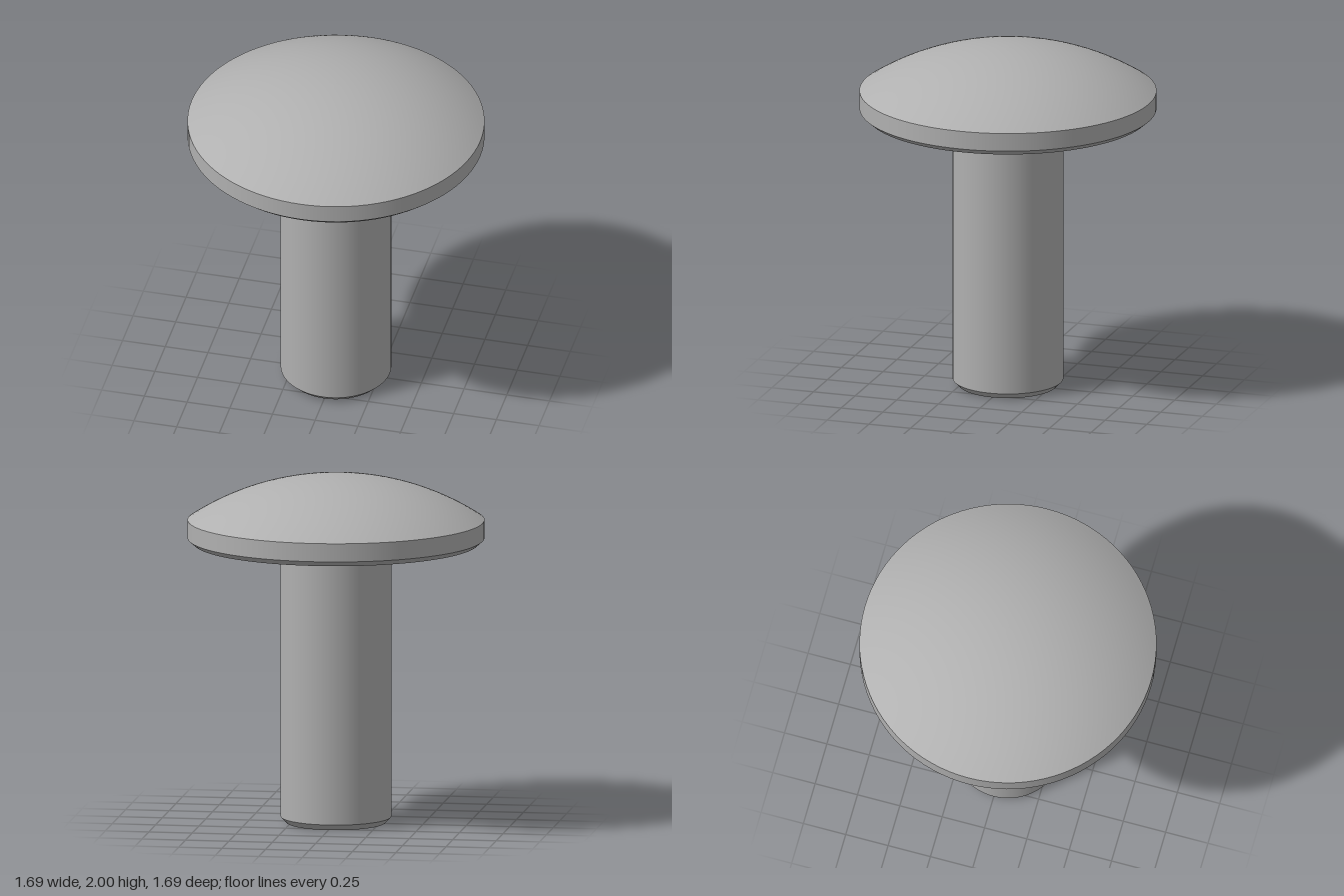
import * as THREE from 'three';

const SEGMENTS = 96;
const SHAFT_R = 0.315, TIP_R = 0.28, HEAD_R = 0.845;
const HEAD_Y = 1.61, RIM_Y = 1.745, TOP_Y = 2;

export function createModel() {
  const group = new THREE.Group();
  const steel = new THREE.MeshStandardMaterial({ color: 0xb0b0b0 });
  steel.name = 'grey steel';

  const add = (name, geometry) => {
    const mesh = new THREE.Mesh(geometry, steel);
    mesh.name = name;
    group.add(mesh);
    return mesh;
  };
  // Each band is turned separately so the edges between bands stay sharp
  const turn = (name, points) =>
    add(name, new THREE.LatheGeometry(points.map(([r, y]) => new THREE.Vector2(r, y)), SEGMENTS));

  // Shaft
  turn('shaftChamfer', [[TIP_R, 0], [SHAFT_R, 0.035]]);
  turn('shaft', [[SHAFT_R, 0.035], [SHAFT_R, HEAD_Y]]);

  // Head
  turn('headUnderside', [[SHAFT_R, HEAD_Y], [0.81, HEAD_Y]]);
  turn('headChamfer', [[0.81, HEAD_Y], [HEAD_R, 1.64]]);
  turn('headRim', [[HEAD_R, 1.64], [HEAD_R, RIM_Y]]);

  // Dome: a shallow spherical cap
  const rise = TOP_Y - RIM_Y;
  const radius = (HEAD_R ** 2 + rise ** 2) / (2 * rise);
  const sweep = Math.asin(HEAD_R / radius);
  const dome = [];
  for (let i = 0; i <= 24; i++) {
    const a = sweep * (1 - i / 24);
    dome.push([radius * Math.sin(a), TOP_Y - radius + radius * Math.cos(a)]);
  }
  turn('headDome', dome);

  // Tip face with a cross-shaped socket cut into it
  const depth = 0.28, arm = 0.227, half = 0.085;
  const tip = new THREE.Shape().absarc(0, 0, TIP_R, 0, Math.PI * 2);
  const corners = [];
  for (let q = 0; q < 4; q++) {
    const c = Math.cos(q * Math.PI / 2), s = Math.sin(q * Math.PI / 2);
    for (const [x, y] of [[arm, -half], [arm, half], [half, half]]) {
      corners.push(new THREE.Vector2(x * c - y * s, x * s + y * c));
    }
  }
  tip.holes.push(new THREE.Path(corners));
  const socket = new THREE.ExtrudeGeometry(tip, { depth, bevelEnabled: false, curveSegments: SEGMENTS / 2 });
  add('crossSocket', socket.rotateX(Math.PI / 2).translate(0, depth, 0));

  // Socket floor
  const floor = new THREE.CircleGeometry(TIP_R, 48);
  add('socketFloor', floor.rotateX(Math.PI / 2).translate(0, depth, 0));

  return group;
}
